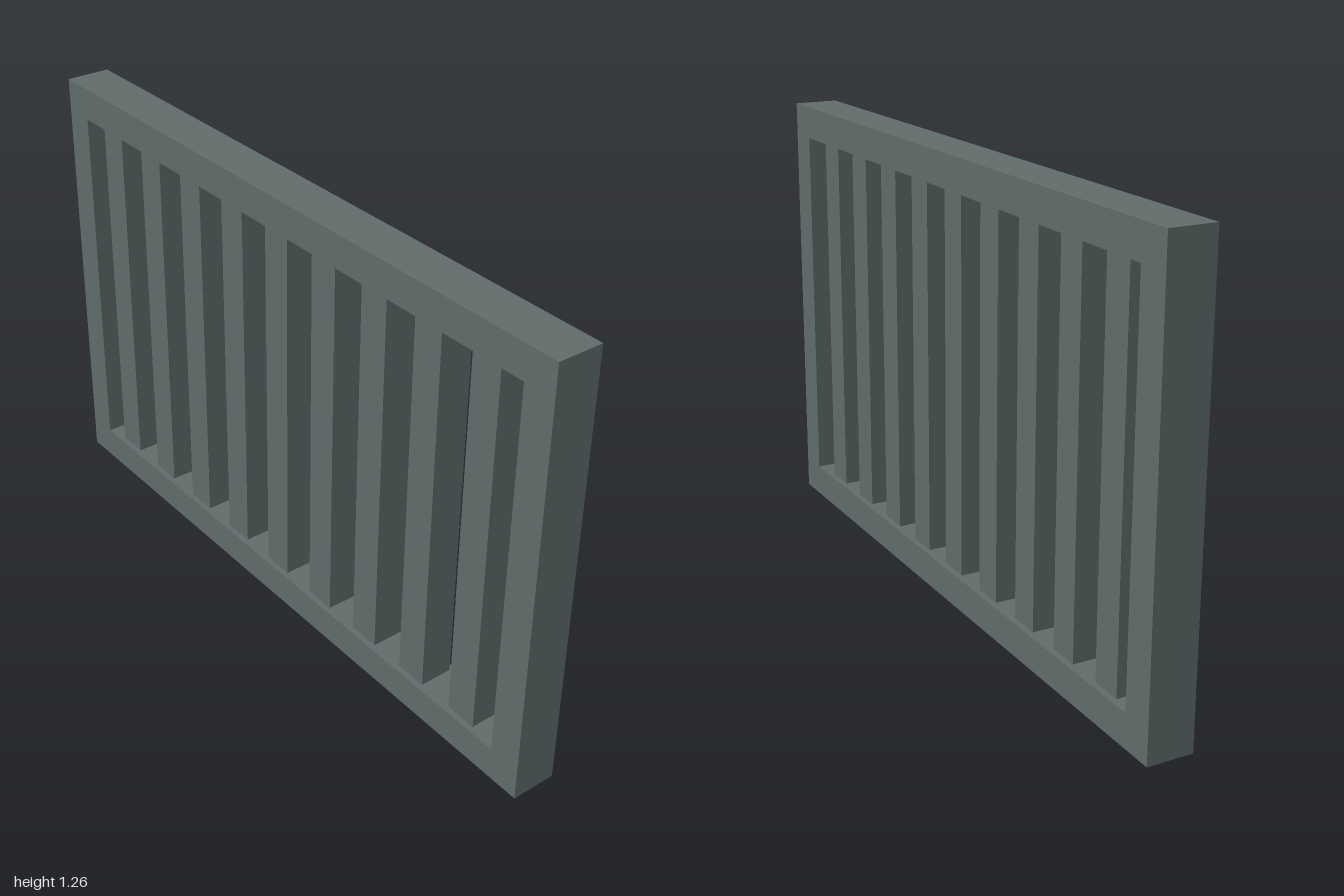
import * as THREE from 'three';

const WIDTH = 2, HEIGHT = 1.265, DEPTH = 0.13, RAIL = 0.094;
const BAR_COUNT = 9, BAR_PITCH = 0.196, BAR_CENTRE = -0.011, BAR_WIDTH = 0.093, BAR_DEPTH = 0.096;

// Traces a rectangle onto a shape or path
function rectangle(path, x0, y0, x1, y1) {
  path.moveTo(x0, y0);
  path.lineTo(x1, y0);
  path.lineTo(x1, y1);
  path.lineTo(x0, y1);
  path.closePath();
  return path;
}

export function createModel() {
  const group = new THREE.Group();
  group.name = 'barredGrate';

  const metal = new THREE.MeshStandardMaterial({ color: 0x5f6b6a });
  metal.name = 'grey green metal';

  // Outer frame: one slab with a rectangular opening
  const outline = rectangle(new THREE.Shape(), -WIDTH / 2, 0, WIDTH / 2, HEIGHT);
  outline.holes.push(rectangle(new THREE.Path(), -WIDTH / 2 + RAIL, RAIL, WIDTH / 2 - RAIL, HEIGHT - RAIL));
  const frameGeometry = new THREE.ExtrudeGeometry(outline, { depth: DEPTH, bevelEnabled: false });
  frameGeometry.translate(0, 0, -DEPTH / 2);
  const frame = new THREE.Mesh(frameGeometry, metal);
  frame.name = 'frame';
  group.add(frame);

  // Upright bars, set slightly back from both faces of the frame
  const bars = new THREE.Group();
  bars.name = 'bars';
  const barGeometry = new THREE.BoxGeometry(BAR_WIDTH, HEIGHT - 2 * RAIL, BAR_DEPTH);
  for (let i = 0; i < BAR_COUNT; i++) {
    const bar = new THREE.Mesh(barGeometry, metal);
    bar.name = `bar${i + 1}`;
    bar.position.set(BAR_CENTRE + (i - (BAR_COUNT - 1) / 2) * BAR_PITCH, HEIGHT / 2, 0);
    bars.add(bar);
  }
  group.add(bars);

  return group;
}
